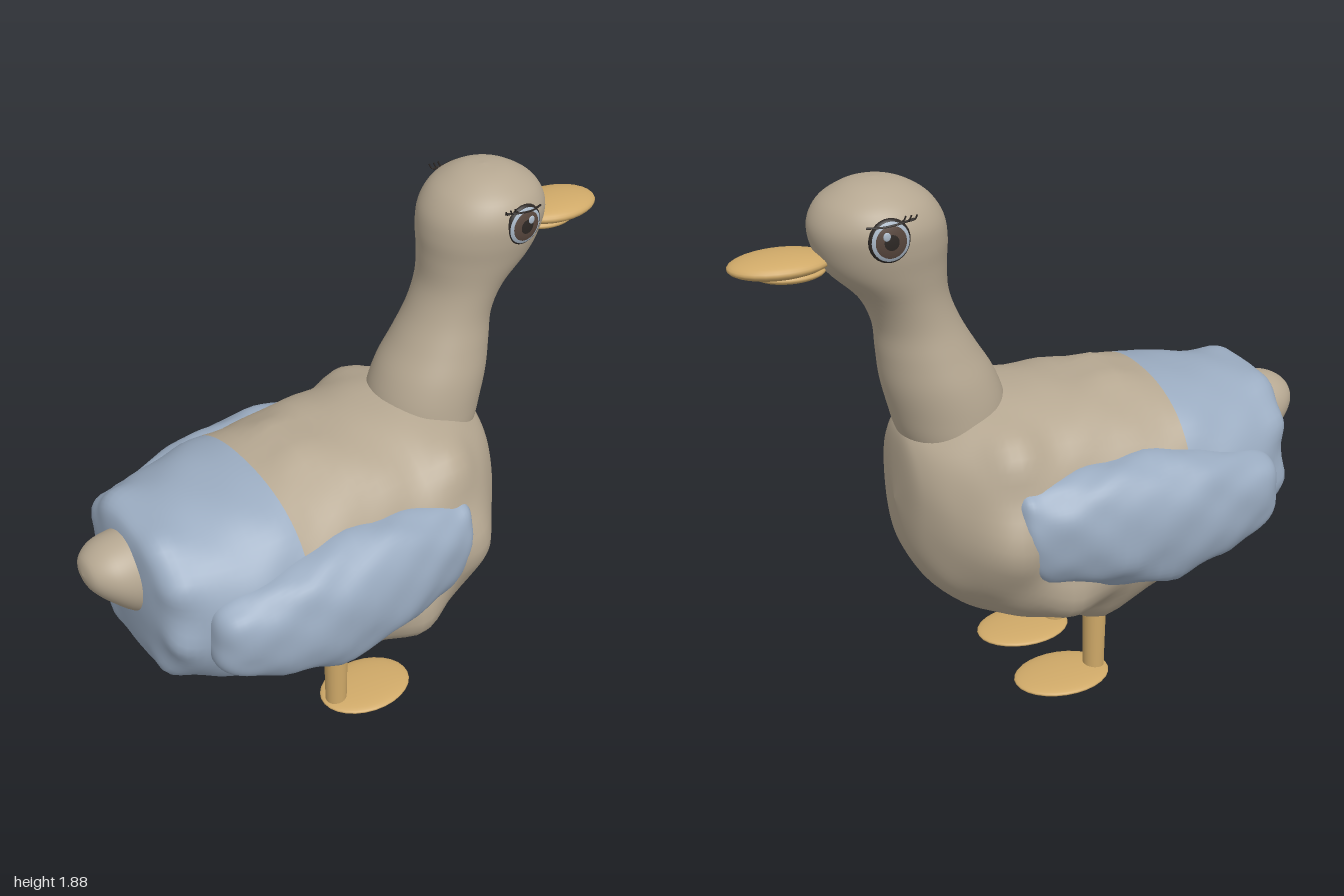
import * as THREE from 'three';

const paint = (name, color) => {
  const m = new THREE.MeshStandardMaterial({ color });
  m.name = name;
  return m;
};

// Catmull-Rom blend of the section rows, k steps per span
function smoothRows(sections, k) {
  const rows = [], n = sections.length, at = i => sections[Math.max(0, Math.min(n - 1, i))];
  for (let i = 0; i < n - 1; i++) {
    for (let s = 0; s < k; s++) {
      const t = s / k;
      rows.push(sections[i].map((b, d) => {
        const a = at(i - 1)[d], c = at(i + 1)[d], e = at(i + 2)[d];
        return 0.5 * (2 * b + (c - a) * t + (2 * a - 5 * b + 4 * c - e) * t * t + (3 * b - a - 3 * c + e) * t * t * t);
      }));
    }
  }
  rows.push(sections[n - 1]);
  return rows;
}

// Skin over rings given as [position on axis, low, high, half width in z]
const STEPS = 5, SIDES = 64;
function loft(sections, { axis = 'x', bump = 0, power = 2, centre = () => 0 } = {}) {
  const rows = smoothRows(sections, STEPS), pos = [], index = [];
  const round = v => Math.sign(v) * Math.abs(v) ** (2 / power);
  for (const [t, lo, hi, half] of rows) {
    for (let j = 0; j < SIDES; j++) {
      const a = j / SIDES * Math.PI * 2;
      const f = 1 + bump * (Math.sin(17 * t) * Math.cos(5 * a) + 0.7 * Math.sin(29 * t + 2) * Math.cos(8 * a));
      const u = (lo + hi) / 2 + (hi - lo) / 2 * round(Math.cos(a)) * f;
      const w = Math.max(0, half) * round(Math.sin(a)) * f;
      if (axis === 'x') pos.push(t, u, centre(t) + w);
      else pos.push(u, t, -w);
    }
  }
  for (let i = 0; i < rows.length - 1; i++) {
    for (let j = 0; j < SIDES; j++) {
      const a = i * SIDES + j, b = i * SIDES + (j + 1) % SIDES;
      index.push(a, b, a + SIDES, b, b + SIDES, a + SIDES);
    }
  }
  const g = new THREE.BufferGeometry();
  g.setAttribute('position', new THREE.Float32BufferAttribute(pos, 3));
  g.setIndex(index);
  g.computeVertexNormals();
  return g;
}

// Push soft lumps [x, y, |z|, radius, height] out of a skin, alike on both sides
function swell(g, lumps) {
  const p = g.attributes.position, n = g.attributes.normal;
  for (let i = 0; i < p.count; i++) {
    const x = p.getX(i), y = p.getY(i), z = p.getZ(i);
    let h = 0;
    for (const [lx, ly, lz, r, amount] of lumps) {
      h += amount * Math.exp(-((x - lx) ** 2 + (y - ly) ** 2 + (Math.abs(z) - lz) ** 2) / (r * r));
    }
    p.setXYZ(i, x + n.getX(i) * h, y + n.getY(i) * h, z + n.getZ(i) * h);
  }
  g.computeVertexNormals();
  return g;
}

export function createModel() {
  const tan = paint('tan plumage', 0xb5a791);
  const blue = paint('blue feathers', 0x9aabc0);
  const gold = paint('golden bill and legs', 0xcfa968);
  const dark = paint('dark lash', 0x2c2724);
  const brown = paint('brown iris', 0x57463d);
  const pale = paint('pale eye', 0xa9b7c6);

  const model = new THREE.Group();
  model.name = 'bird';
  const add = (name, geometry, material, parent = model) => {
    const m = new THREE.Mesh(geometry, material);
    m.name = name;
    parent.add(m);
    return m;
  };
  const blob = (name, material, p, r, parent = model) => {
    const m = add(name, new THREE.SphereGeometry(1, 28, 18), material, parent);
    m.position.set(...p);
    m.scale.set(...r);
    return m;
  };

  // Body: blue rump behind x = -0.4, tan in front
  const body = loft([
    [-0.87, 0.84, 0.84, 0], [-0.855, 0.66, 0.98, 0.17], [-0.815, 0.48, 1.035, 0.28], [-0.7, 0.42, 1.05, 0.36],
    [-0.55, 0.37, 1.07, 0.405], [-0.4, 0.325, 1.09, 0.42], [-0.16, 0.27, 1.115, 0.42], [0.05, 0.28, 1.125, 0.42],
    [0.2, 0.315, 1.13, 0.42], [0.31, 0.37, 1.11, 0.375], [0.4, 0.44, 1.08, 0.295], [0.46, 0.53, 1.04, 0.21],
    [0.49, 0.62, 0.97, 0.13], [0.505, 0.77, 0.77, 0],
  ], { bump: 0.012, power: 2.25 });
  // shoulders, flanks, thighs, back and rump tufts
  swell(body, [
    [0.25, 0.72, 0.41, 0.11, 0.045], [0.19, 0.98, 0.3, 0.1, 0.035], [0.03, 0.49, 0.36, 0.11, 0.07],
    [-0.17, 0.31, 0.19, 0.11, 0.055], [-0.25, 1.1, 0.08, 0.08, 0.018], [-0.8, 1.0, 0.15, 0.06, 0.015],
    [-0.8, 0.9, 0.26, 0.06, 0.025], [-0.8, 0.7, 0.28, 0.06, 0.025], [-0.8, 0.53, 0.17, 0.06, 0.02],
  ]);
  const split = 5 * STEPS * SIDES * 6;
  body.addGroup(0, split, 0);
  body.addGroup(split, body.index.count - split, 1);
  add('body', body, [blue, tan]);

  // Tail tip
  add('tailTip', loft([
    [-1, 0.88, 0.88, 0], [-0.985, 0.825, 0.93, 0.065], [-0.93, 0.76, 0.965, 0.115],
    [-0.85, 0.69, 0.98, 0.135], [-0.78, 0.7, 0.98, 0.12],
  ]), tan);

  // Neck and head in one skin
  add('neckAndHead', loft([
    [0.88, 0.17, 0.42, 0.17], [1.0, 0.12, 0.478, 0.2], [1.1, 0.12, 0.507, 0.2], [1.2, 0.155, 0.53, 0.19],
    [1.3, 0.215, 0.54, 0.168], [1.4, 0.27, 0.55, 0.15], [1.5, 0.305, 0.597, 0.155], [1.6, 0.308, 0.695, 0.178],
    [1.68, 0.305, 0.733, 0.195], [1.75, 0.317, 0.74, 0.198], [1.81, 0.355, 0.71, 0.172],
    [1.85, 0.41, 0.655, 0.12], [1.872, 0.465, 0.6, 0.066], [1.88, 0.53, 0.53, 0],
  ], { axis: 'y' }), tan);

  // Bill
  blob('upperBill', gold, [0.838, 1.645, 0], [0.162, 0.036, 0.11]);
  blob('lowerBill', gold, [0.805, 1.612, 0], [0.11, 0.024, 0.08]);

  for (const s of [1, -1]) {
    const side = s > 0 ? 'left' : 'right';

    // Wing, its rear leaning in against the rump
    const wing = loft([
      [-0.74, 0.72, 0.72, 0], [-0.725, 0.63, 0.82, 0.06], [-0.66, 0.57, 0.86, 0.11], [-0.5, 0.52, 0.905, 0.145],
      [-0.33, 0.48, 0.94, 0.165], [-0.1, 0.5, 0.95, 0.165], [0.05, 0.55, 0.93, 0.14],
      [0.15, 0.57, 0.915, 0.112], [0.21, 0.66, 0.905, 0.085], [0.245, 0.83, 0.83, 0],
    ], { bump: 0.025, power: 2.2, centre: t => s * (0.355 + Math.min(0, t + 0.4) * 0.06) });
    add(side + 'Wing', swell(wing, [
      [-0.68, 0.8, 0.4, 0.06, 0.015], [-0.7, 0.66, 0.38, 0.06, 0.015], [-0.52, 0.56, 0.44, 0.06, 0.015],
      [-0.32, 0.52, 0.46, 0.06, 0.012],
    ]), blue);

    // Leg and webbed foot
    add(side + 'Leg', new THREE.CylinderGeometry(0.043, 0.038, 0.3, 20), gold).position.set(-0.16, 0.175, s * 0.17);
    blob(side + 'Foot', gold, [-0.035, 0.024, s * 0.17], [0.175, 0.022, 0.13]);

    // Eye: one shallow dome cut into coloured rings
    const eye = new THREE.Group();
    eye.name = side + 'Eye';
    eye.position.set(0.55, 1.737, s * 0.188);
    eye.scale.set(0.067, 0.07, 0.025);
    model.add(eye);
    [['pupil', dark, 0, 0.36], ['iris', brown, 0.36, 0.82], ['eyeRing', pale, 0.82, 1.1], ['eyeRim', dark, 1.1, 1.57]]
      .forEach(([name, m, from, to]) => add(name, new THREE.SphereGeometry(1, 28, 5, 0, Math.PI * 2, from, to - from)
        .rotateX(s * Math.PI / 2), m, eye));
    blob('glint', pale, [0.565, 1.757, s * 0.211], [0.012, 0.014, 0.004]);

    // Upper lid line and lashes
    const line = (name, pts, r) => add(name, new THREE.TubeGeometry(new THREE.CatmullRomCurve3(
      pts.map(([x, y, z]) => new THREE.Vector3(x, y, s * z))), 12, r, 6), dark);
    line(side + 'Lid', [[0.47, 1.795, 0.19], [0.52, 1.79, 0.203], [0.57, 1.785, 0.203], [0.62, 1.783, 0.186]], 0.0035);
    for (let i = 0; i < 3; i++) {
      const x = 0.49 + i * 0.018;
      line(side + 'Lash', [[x, 1.79, 0.193], [x - 0.018, 1.797, 0.2], [x - 0.025, 1.812, 0.203]], 0.0025);
    }
  }
  return model;
}
